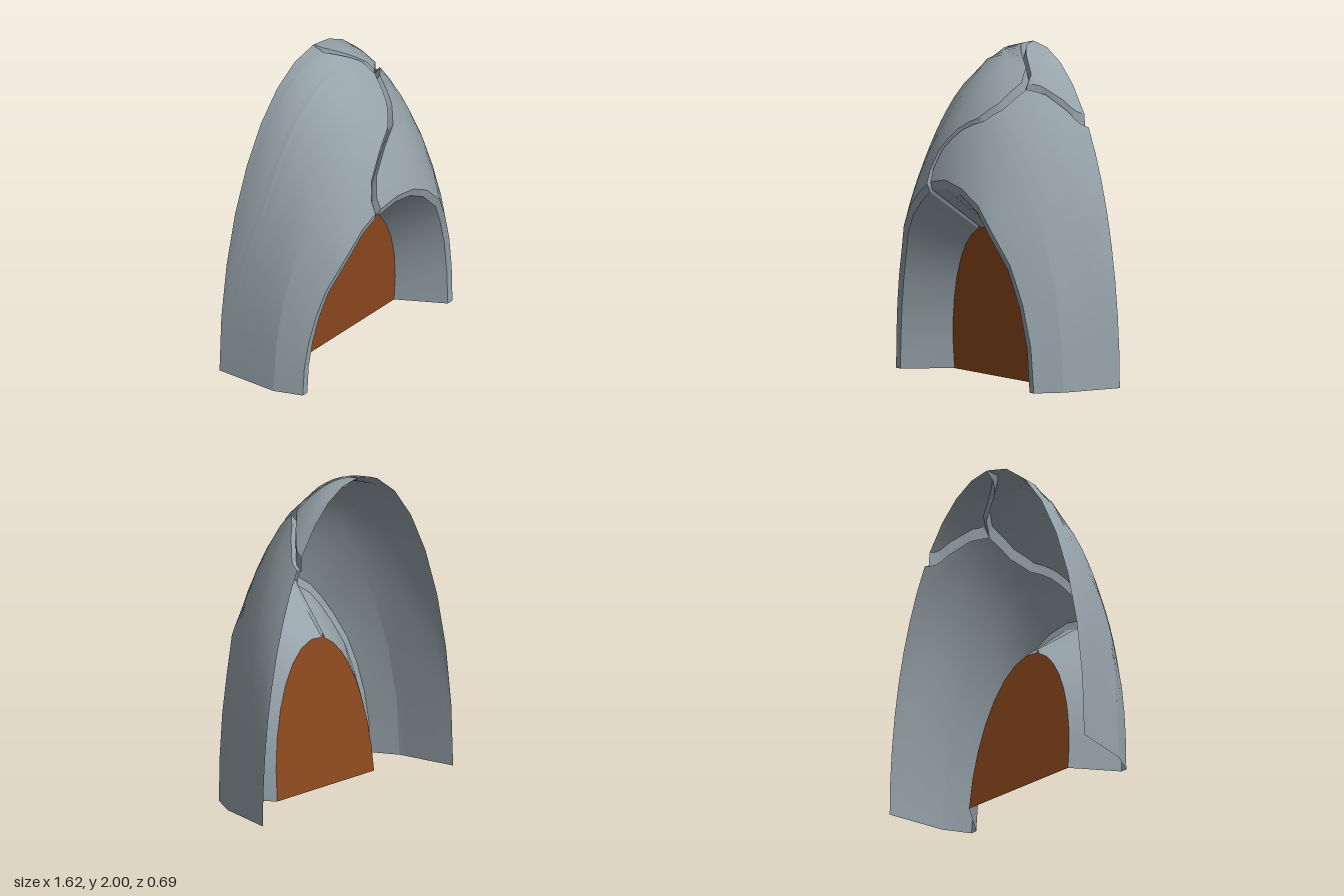
import * as THREE from 'three';

// Shell: quarter ellipsoid, open at the back; an arched doorway is cut in the front.
const RX = 0.81, RY = 2, RZ = 0.875, BACK = -0.35;
const ARCH = [0.645, 1.228], INNER = [0.605, 1.175], DOOR = [0.412, 0.91];
const doorZ = (y) => -0.08 + 0.1 * y; // the door leans forward
const GAP = 0.03, DEPTH = 0.032; // crack half width (radians) and relative depth
const FOLD = 0.54; // level of the fold down each flank
const { lerp, smoothstep } = THREE.MathUtils;

// Surface coordinates: a = angle round the doorway, v = 0 at the arch, 1 at the back edge.
const radii = (v) => [lerp(ARCH[0] / RX, 1, v), lerp(ARCH[1] / RY, 1, v)];

function toSurface([x, y]) {
  let lo = 0, hi = 1;
  for (let i = 0; i < 40; i++) {
    const v = (lo + hi) / 2, [rx, ry] = radii(v);
    if ((x / RX / rx) ** 2 + (y / RY / ry) ** 2 > 1) lo = v; else hi = v;
  }
  const [rx, ry] = radii(lo);
  return { v: lo, a: Math.atan2(y / RY / ry, x / RX / rx) };
}

// Crack paths as seen from the front (x, y)
const mainCrack = [[-0.155, 1.19], [-0.16, 1.27], [-0.12, 1.39], [0, 1.52], [0.13, 1.59], [0.21, 1.67],
  [0.255, 1.785], [0.215, 1.865], [0.1, 1.952], [0.015, 1.991], [0, 2]].map(toSurface);
const branchCrack = [[0.255, 1.785], [0.337, 1.76], [0.434, 1.67], [0.499, 1.575]].map(toSurface);
mainCrack[0].v = 0;
mainCrack[mainCrack.length - 1].v = branchCrack[3].v = 1;
const JOIN = branchCrack[0].v;

const follow = (path) => (v) => {
  for (let i = 1; i < path.length; i++) {
    const p = path[i - 1], q = path[i];
    if (v <= q.v) return lerp(p.a, q.a, Math.max(0, (v - p.v) / (q.v - p.v)));
  }
  return path[path.length - 1].a;
};
const crackA = follow(mainCrack), branchA = follow(branchCrack);
const taper = (v) => THREE.MathUtils.clamp((1 - v) / 0.01, 0.15, 1); // main crack closes at the peak

function ellipsoid(a, v) {
  const [rx, ry] = radii(v);
  const x = rx * Math.cos(a), y = ry * Math.sin(a);
  return new THREE.Vector3(x * RX, y * RY, RZ * Math.sqrt(Math.max(0, 1 - x * x - y * y)));
}

function shellPoint(a, v) {
  const side = Math.abs(a - Math.PI / 2);
  const p = ellipsoid(a, v);
  // Foot of each flank is made of two flat bands
  const [v0, v1] = v < FOLD ? [0, FOLD] : [FOLD, 1];
  const flat = ellipsoid(a, v0).lerp(ellipsoid(a, v1), (v - v0) / (v1 - v0));
  p.lerp(flat, smoothstep(side, 0.9, 1.35));
  // Small swelling on each shoulder of the arch
  p.z += 0.024 * Math.exp(-(((side - 0.68) / 0.13) ** 2)) * Math.max(0, 1 - v * 2.5);
  // V-shaped cracks
  let k = taper(v) - Math.abs(a - crackA(v)) / GAP;
  if (v >= JOIN) k = Math.max(k, 1 - Math.abs(a - branchA(v)) / GAP);
  p.multiplyScalar(1 - DEPTH * Math.max(0, k));
  return [p.x, p.y, p.z + BACK];
}

// Doorway levels: 0 = door edge, 1 = inner rim, 2 = outer rim on the shell
const tunnelA = (t) => lerp(1.74, crackA(0), Math.min(t, 1));
function tunnelPoint(a, t) {
  if (t === 2) return shellPoint(a, 0);
  const k = Math.max(0, 1 - Math.abs(a - tunnelA(t)) / GAP);
  const rimZ = shellPoint(a, 0)[2] - 0.015 * Math.sin(a);
  const s = 1 + 0.03 * k * (1 - t);
  const y = lerp(DOOR[1], INNER[1], t) * Math.sin(a) * s;
  return [lerp(DOOR[0], INNER[0], t) * Math.cos(a) * s, y, t ? rimZ : doorZ(y)];
}

// Grid between two edges, each given as an angle for every row
function strip(point, rows, from, to, cols) {
  const pos = [], index = [];
  rows.forEach((v, j) => {
    for (let i = 0; i <= cols; i++) {
      pos.push(...point(lerp(from(v), to(v), i / cols), v));
      if (j && i) {
        const d = j * (cols + 1) + i, b = d - cols - 1;
        index.push(b - 1, d - 1, d, b - 1, d, b);
      }
    }
  });
  const g = new THREE.BufferGeometry();
  g.setAttribute('position', new THREE.Float32BufferAttribute(pos, 3));
  g.setIndex(index);
  g.computeVertexNormals();
  return g;
}

export function createModel() {
  const stone = new THREE.MeshStandardMaterial({ color: 0x96a3aa, side: THREE.DoubleSide });
  stone.name = 'grey shell';
  const wood = new THREE.MeshStandardMaterial({ color: 0x8f4a1e, side: THREE.DoubleSide });
  wood.name = 'brown door';
  const group = new THREE.Group();
  const add = (name, geometry, material = stone) => {
    const mesh = new THREE.Mesh(geometry, material);
    mesh.name = name;
    group.add(mesh);
  };

  // Rows pass through every bend of both cracks and the flank fold
  const knots = [FOLD, ...[...mainCrack, ...branchCrack].map((p) => p.v)].sort((p, q) => p - q)
    .filter((v, i, all) => !i || v - all[i - 1] > 1e-6);
  const rows = knots.flatMap((v, i) => (i ? [(v + knots[i - 1]) / 2, v] : [v]));
  const upper = rows.filter((v) => v >= JOIN);
  const lower = rows.filter((v) => v <= JOIN);

  // Shell plates
  const zero = () => 0, half = () => Math.PI;
  const middle = (v) => (crackA(v) + branchA(v)) / 2;
  const topOuter = (v) => Math.min(branchA(v) + GAP, middle(v));
  const topInner = (v) => Math.max(crackA(v) - GAP * taper(v), middle(v));
  const crackFar = (v) => crackA(v) + GAP * taper(v);
  const crackNear = (v) => crackA(v) - GAP;
  const branchNear = (v) => branchA(v) - GAP;
  add('rightPlate', strip(shellPoint, rows, crackFar, half, 8));
  add('leftPlate', strip(shellPoint, rows, zero, (v) => (v <= JOIN ? crackNear(v) : branchNear(v)), 8));
  add('topPlate', strip(shellPoint, upper, topOuter, topInner, 4));

  // Crack walls
  add('crackWall', strip(shellPoint, rows, crackA, crackFar, 1));
  add('crackWall', strip(shellPoint, lower, crackNear, crackA, 1));
  add('crackWall', strip(shellPoint, upper, topInner, crackA, 1));
  add('branchCrackWall', strip(shellPoint, upper, branchNear, branchA, 1));
  add('branchCrackWall', strip(shellPoint, upper, branchA, topOuter, 1));

  // Doorway rim and passage, split by the same crack
  const edgeFar = (t) => tunnelA(t) + GAP, edgeNear = (t) => tunnelA(t) - GAP;
  for (const [name, levels] of [['doorwayPassage', [0, 1]], ['doorwayRim', [1, 2]]]) {
    add(name, strip(tunnelPoint, levels, zero, edgeNear, 8));
    add(name, strip(tunnelPoint, levels, edgeNear, tunnelA, 1));
    add(name, strip(tunnelPoint, levels, tunnelA, edgeFar, 1));
    add(name, strip(tunnelPoint, levels, edgeFar, half, 8));
  }

  // Arched door, filling the end of the passage and its crack
  const outline = [];
  for (let i = 0; i <= 8; i++) outline.push(lerp(0, edgeNear(0), i / 8));
  outline.push(tunnelA(0));
  for (let i = 0; i <= 8; i++) outline.push(lerp(edgeFar(0), Math.PI, i / 8));
  const arch = new THREE.Shape(outline.map((a) => new THREE.Vector2(...tunnelPoint(a, 0))));
  const door = new THREE.ShapeGeometry(arch);
  const pos = door.attributes.position;
  for (let i = 0; i < pos.count; i++) pos.setZ(i, doorZ(pos.getY(i)));
  door.computeVertexNormals();
  add('door', door, wood);
  return group;
}
